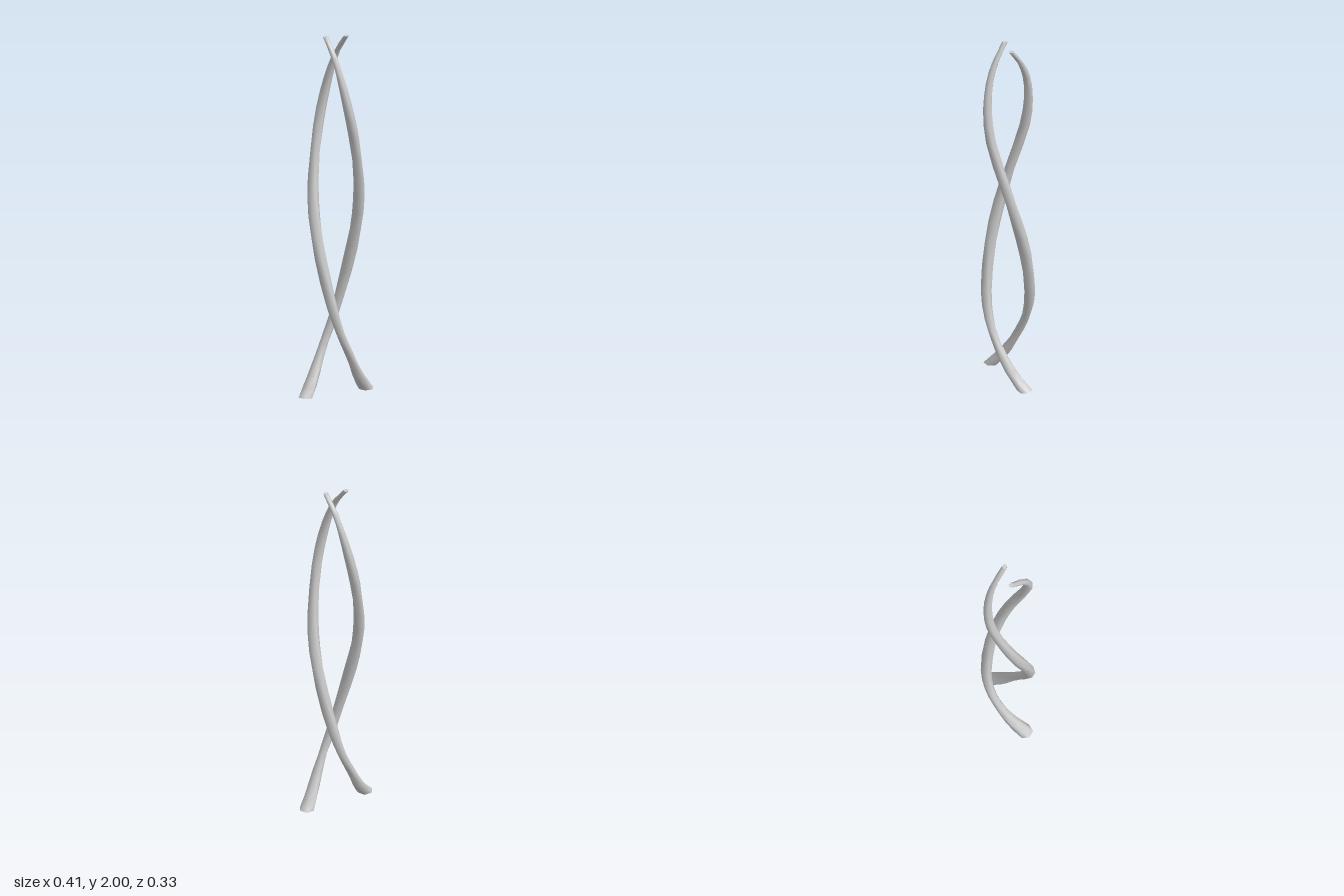
import * as THREE from 'three';
import { mergeVertices } from 'three/addons/utils/BufferGeometryUtils.js';

// Centre line of one strand: x, y, z and radius of the horizontal section
const PATH = [
  [0.165, 0, 0.058, 0.042],
  [0.085, 0.1, 0.082, 0.032],
  [0, 0.25, 0.097, 0.024],
  [-0.055, 0.37, 0.09, 0.025],
  [-0.094, 0.52, 0.068, 0.029],
  [-0.117, 0.78, 0.005, 0.033],
  [-0.107, 1.0, -0.055, 0.032],
  [-0.072, 1.2, -0.1, 0.029],
  [0, 1.47, -0.137, 0.028],
  [0.036, 1.65, -0.126, 0.026],
  [0.052, 1.8, -0.09, 0.021],
  [0.053, 1.9, -0.044, 0.017],
  [0.047, 2, 0.03, 0.0145],
];

// Six-sided tapering strand: a capped cylinder bent along the path, one corner facing outward
function strandGeometry() {
  const path = new THREE.CatmullRomCurve3(PATH.map(([x, y, z]) => new THREE.Vector3(x, y, z)));
  const taper = new THREE.SplineCurve(PATH.map(p => new THREE.Vector2(p[1], p[3])));
  let geo = new THREE.CylinderGeometry(1, 1, 1, 6, 24);
  geo.deleteAttribute('uv');
  geo = mergeVertices(geo); // welds the side seam, keeps the caps sharp
  const pos = geo.attributes.position;
  for (let i = 0; i < pos.count; i++) {
    const t = THREE.MathUtils.clamp(pos.getY(i) + 0.5, 0, 1);
    const c = path.getPoint(t);
    const r = taper.getPoint(t).y;
    const len = Math.hypot(c.x, c.z);
    const rx = c.x / len, rz = c.z / len;
    const lx = pos.getX(i) * r, lz = pos.getZ(i) * r;
    pos.setXYZ(i, c.x + lx * rz + lz * rx, c.y, c.z - lx * rx + lz * rz);
  }
  geo.computeVertexNormals();
  return geo;
}

export function createModel() {
  const model = new THREE.Group();
  model.name = 'twistedStrands';
  const material = new THREE.MeshStandardMaterial({ color: 0xcccccc });
  const geometry = strandGeometry();
  // Two identical strands, half a turn apart
  ['leftStrand', 'rightStrand'].forEach((name, i) => {
    const strand = new THREE.Mesh(geometry, material);
    strand.name = name;
    strand.rotation.y = i * Math.PI;
    model.add(strand);
  });
  return model;
}
